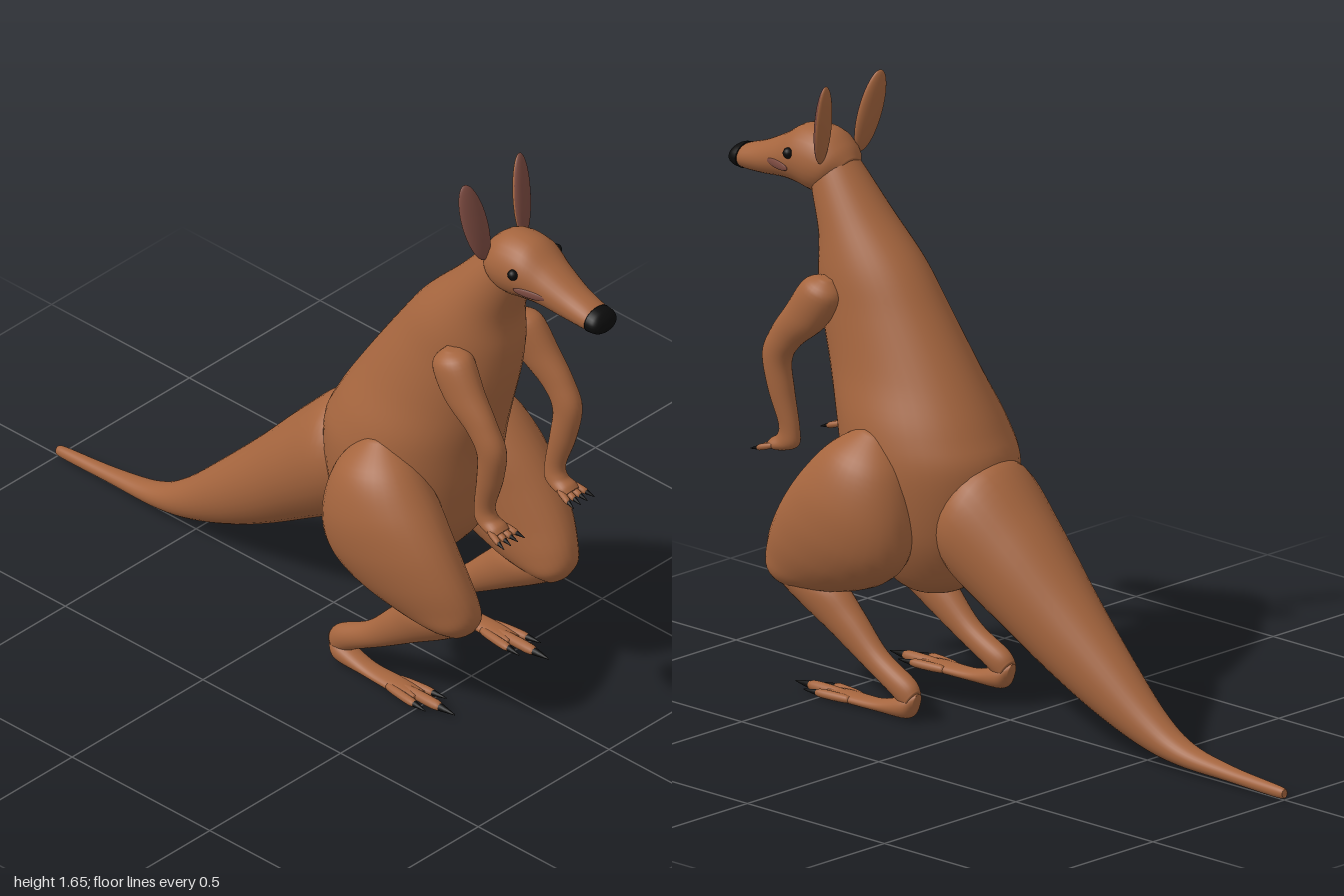
import * as THREE from 'three';

const mat = (name, color) => {
  const m = new THREE.MeshStandardMaterial({ color });
  m.name = name;
  return m;
};

// Smooth skin over elliptical sections.
// Section: [zA, yA, zB, yB, x, rx], where A and B are opposite ends of one ellipse axis.
function loft(sections, side = 1, steps = 6, sides = 28) {
  const n = sections.length;
  const at = i => sections[Math.max(0, Math.min(n - 1, i))];
  const rings = [];
  for (let i = 0; i < n - 1; i++) {
    for (let k = 0; k < steps; k++) {
      const t = k / steps;
      rings.push(at(i).map((p1, c) => {
        const p0 = at(i - 1)[c], p2 = at(i + 1)[c], p3 = at(i + 2)[c];
        return p1 + 0.5 * t * (p2 - p0 + t * (2 * p0 - 5 * p1 + 4 * p2 - p3 + t * (3 * (p1 - p2) + p3 - p0)));
      }));
    }
  }
  rings.push(at(n - 1));
  const pos = [], idx = [];
  for (const [za, ya, zb, yb, x, rx] of rings) {
    for (let j = 0; j < sides; j++) {
      const a = j / sides * Math.PI * 2, s = Math.sin(a) / 2;
      pos.push(side * x + Math.cos(a) * rx, (ya + yb) / 2 + s * (ya - yb), (za + zb) / 2 + s * (za - zb));
    }
  }
  const last = rings.length - 1;
  for (let i = 0; i < last; i++) {
    for (let j = 0; j < sides; j++) {
      const a = i * sides + j, b = i * sides + (j + 1) % sides;
      idx.push(a, b, a + sides, b, b + sides, a + sides);
    }
  }
  // End caps
  const c0 = pos.length / 3;
  for (const r of [rings[0], rings[last]]) pos.push(side * r[4], (r[1] + r[3]) / 2, (r[0] + r[2]) / 2);
  for (let j = 0; j < sides; j++) {
    const k = (j + 1) % sides;
    idx.push(c0, k, j, c0 + 1, last * sides + j, last * sides + k);
  }
  // Turn the faces outward, judged by the enclosed volume
  const v = i => new THREE.Vector3().fromArray(pos, i * 3);
  let volume = 0;
  for (let i = 0; i < idx.length; i += 3) volume += v(idx[i]).dot(v(idx[i + 1]).cross(v(idx[i + 2])));
  if (volume < 0) idx.reverse();
  const g = new THREE.BufferGeometry();
  g.setAttribute('position', new THREE.Float32BufferAttribute(pos, 3));
  g.setIndex(idx);
  g.computeVertexNormals();
  return g;
}

export function createModel() {
  const fur = mat('fur', 0xa5653e);
  const inner = mat('earAndCheek', 0x7b4a40);
  const black = mat('black', 0x0c0c0c);
  const model = new THREE.Group();
  const add = (name, geometry, material = fur) => {
    const m = new THREE.Mesh(geometry, material);
    m.name = name;
    model.add(m);
    return m;
  };

  // Torso and neck
  add('body', loft([
    [0.70, 1.37, 0.61, 1.46, 0, 0.06], [0.69, 1.32, 0.57, 1.42, 0, 0.075],
    [0.66, 1.22, 0.47, 1.31, 0, 0.10], [0.66, 1.12, 0.35, 1.19, 0, 0.125],
    [0.645, 1.02, 0.26, 1.07, 0, 0.14], [0.61, 0.90, 0.15, 0.91, 0, 0.165],
    [0.57, 0.77, 0.07, 0.78, 0, 0.20], [0.54, 0.62, 0.03, 0.68, 0, 0.21],
    [0.50, 0.48, 0.05, 0.50, 0, 0.19], [0.42, 0.38, 0.11, 0.38, 0, 0.14],
    [0.35, 0.33, 0.18, 0.33, 0, 0.09], [0.28, 0.312, 0.23, 0.312, 0, 0.03],
  ], 1, 6, 40));

  // Tail
  add('tail', loft([
    [0.18, 0.42, 0.12, 0.70, 0, 0.14], [0.11, 0.36, 0.03, 0.71, 0, 0.163],
    [-0.04, 0.27, -0.10, 0.59, 0, 0.14], [-0.20, 0.175, -0.25, 0.43, 0, 0.108],
    [-0.35, 0.10, -0.40, 0.28, 0, 0.08], [-0.50, 0.045, -0.54, 0.15, 0, 0.055],
    [-0.63, 0.022, -0.65, 0.085, 0, 0.04], [-0.80, 0.016, -0.80, 0.057, 0, 0.025],
    [-0.98, 0.010, -0.98, 0.042, 0, 0.015], [-1.00, 0.018, -1.00, 0.034, 0, 0.007],
  ], 1, 6, 32));

  // Head and nose
  add('head', loft([
    [0.60, 1.37, 0.575, 1.43, 0, 0.04], [0.635, 1.335, 0.60, 1.465, 0, 0.075],
    [0.68, 1.32, 0.65, 1.50, 0, 0.088], [0.74, 1.33, 0.73, 1.50, 0, 0.086],
    [0.80, 1.333, 0.80, 1.46, 0, 0.07], [0.88, 1.326, 0.88, 1.42, 0, 0.055],
    [0.95, 1.325, 0.95, 1.395, 0, 0.047], [0.98, 1.335, 0.975, 1.38, 0, 0.038],
  ]));
  add('nose', loft([
    [0.955, 1.323, 0.955, 1.395, 0, 0.049], [0.982, 1.327, 0.978, 1.39, 0, 0.046],
    [0.996, 1.338, 0.993, 1.377, 0, 0.033], [1.00, 1.352, 0.999, 1.364, 0, 0.01],
  ]), black);

  for (const s of [1, -1]) {
    const label = s > 0 ? 'left' : 'right';
    const part = (name, sections, steps, sides) => add(label + name, loft(sections, s, steps, sides));

    // Toe or finger with a pointed claw
    const digit = (name, [x, y, z], [x2, y2, z2], r, claw) => {
      const ring = (t, k) => {
        const cy = y + (y2 - y) * t, cz = z + (z2 - z) * t;
        return [cz, cy - r * k, cz, cy + r * k, x + (x2 - x) * t, r * k];
      };
      const end = 1 + claw;
      add(label + name, loft([ring(0, 0.8), ring(0.3, 1), ring(0.85, 1), ring(1, 0.6)], s, 3, 10));
      add(label + name + 'Claw', loft([ring(0.85, 0.7), ring(1, 0.7), ring(end, 0.1)], s, 3, 8), black);
    };

    // Ear: flattened ellipsoid, darker front half
    const ear = new THREE.Group();
    ear.name = label + 'Ear';
    [['earFront', 0, inner], ['earBack', Math.PI, fur]].forEach(([name, start, m]) => {
      const half = new THREE.Mesh(new THREE.SphereGeometry(1, 16, 20, start, Math.PI), m);
      half.name = name;
      ear.add(half);
    });
    ear.scale.set(0.037, 0.118, 0.017);
    ear.position.set(s * 0.09, 1.54, 0.597);
    ear.rotation.set(-0.17, s * 0.25, s * -0.14);
    model.add(ear);

    // Eye and cheek mark
    const eye = add(label + 'Eye', new THREE.SphereGeometry(0.015, 16, 12), black);
    eye.position.set(s * 0.083, 1.432, 0.73);
    const cheek = add(label + 'CheekMark', new THREE.SphereGeometry(1, 16, 12), inner);
    cheek.scale.set(0.005, 0.012, 0.05);
    cheek.position.set(s * 0.074, 1.388, 0.78);
    cheek.rotation.y = s * -0.24;

    // Arm and hand
    part('Arm', [
      [0.57, 1.14, 0.53, 1.135, 0.125, 0.02], [0.615, 1.125, 0.50, 1.085, 0.132, 0.05],
      [0.67, 1.045, 0.55, 1.0, 0.142, 0.046], [0.72, 0.975, 0.63, 0.935, 0.146, 0.037],
      [0.755, 0.90, 0.667, 0.88, 0.145, 0.035], [0.74, 0.80, 0.662, 0.80, 0.14, 0.032],
      [0.71, 0.71, 0.645, 0.70, 0.135, 0.024], [0.715, 0.675, 0.65, 0.65, 0.133, 0.027],
      [0.735, 0.66, 0.70, 0.63, 0.133, 0.032], [0.745, 0.648, 0.735, 0.632, 0.133, 0.025],
    ]);
    for (let i = 0; i < 4; i++) {
      const d = i - 1.5;
      digit('Finger' + (i + 1), [0.133 + d * 0.017, 0.645, 0.715], [0.133 + d * 0.023, 0.632, 0.76], 0.009, 0.5);
    }

    // Thigh
    part('Thigh', [
      [0.36, 0.785, 0.29, 0.77, 0.17, 0.03], [0.45, 0.73, 0.22, 0.68, 0.19, 0.095],
      [0.53, 0.65, 0.185, 0.55, 0.20, 0.123], [0.60, 0.56, 0.20, 0.44, 0.205, 0.12],
      [0.655, 0.47, 0.28, 0.365, 0.20, 0.105], [0.685, 0.40, 0.42, 0.315, 0.19, 0.085],
      [0.69, 0.35, 0.55, 0.295, 0.185, 0.065], [0.67, 0.31, 0.62, 0.285, 0.18, 0.03],
    ], 6, 32);

    // Shin
    part('Shin', [
      [0.67, 0.32, 0.55, 0.36, 0.185, 0.058], [0.60, 0.265, 0.45, 0.325, 0.18, 0.058],
      [0.48, 0.195, 0.38, 0.26, 0.176, 0.046], [0.36, 0.125, 0.29, 0.172, 0.176, 0.034],
      [0.25, 0.065, 0.19, 0.118, 0.178, 0.033], [0.20, 0.03, 0.165, 0.09, 0.18, 0.026],
    ]);

    // Foot with a long middle toe and two shorter side toes
    part('Foot', [
      [0.175, 0.03, 0.16, 0.085, 0.18, 0.015], [0.20, 0.01, 0.20, 0.075, 0.18, 0.033],
      [0.30, 0.008, 0.30, 0.042, 0.18, 0.029], [0.42, 0.008, 0.42, 0.038, 0.18, 0.033],
      [0.48, 0.012, 0.48, 0.034, 0.18, 0.025],
    ]);
    digit('MiddleToe', [0.18, 0.025, 0.42], [0.18, 0.024, 0.56], 0.015, 0.36);
    for (const d of [-1, 1]) {
      digit(d < 0 ? 'InnerToe' : 'OuterToe', [0.18 + d * 0.024, 0.024, 0.39], [0.18 + d * 0.036, 0.024, 0.50], 0.012, 0.38);
    }
  }
  return model;
}
